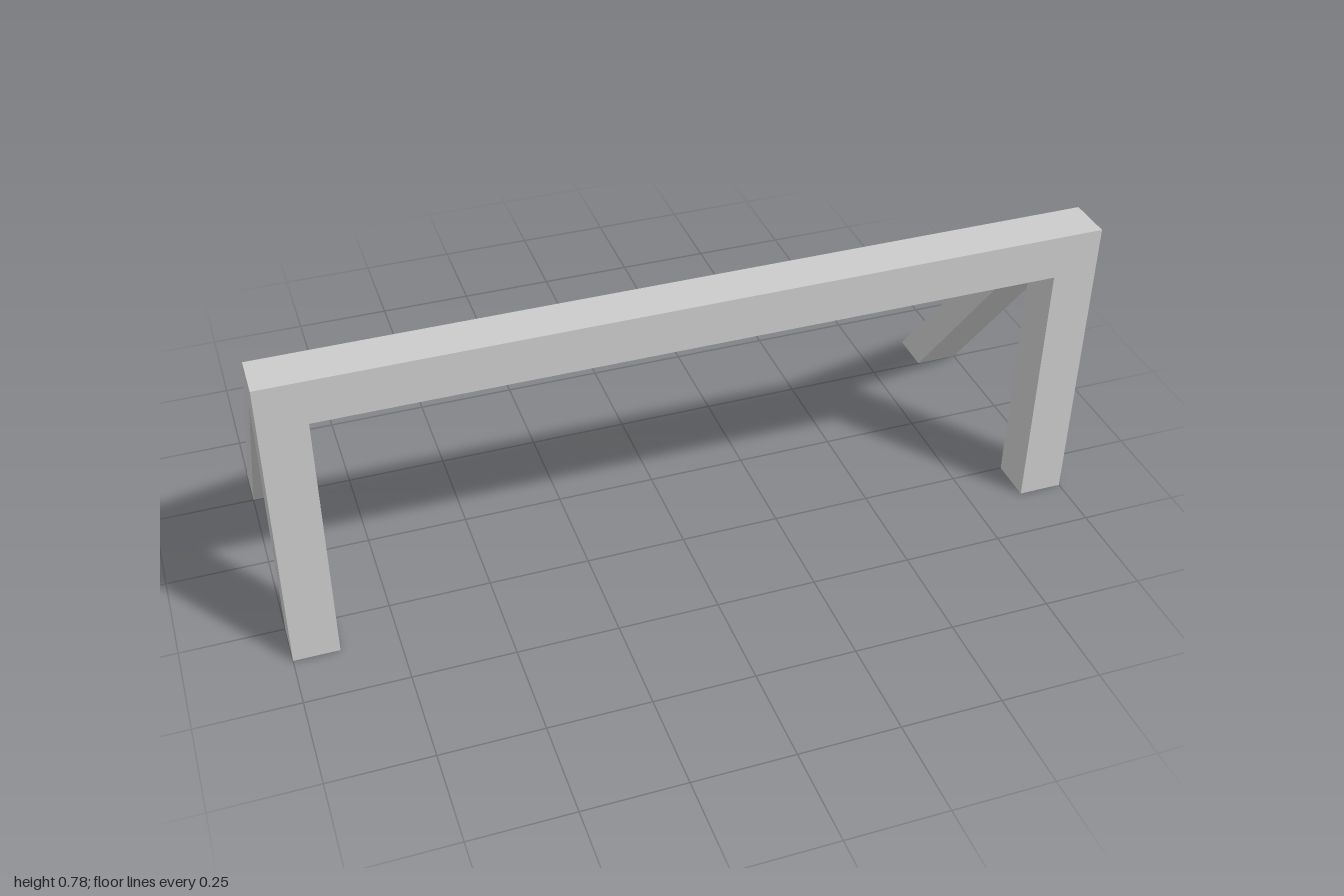
import * as THREE from 'three';

const T = 0.111;      // timber thickness
const H = 0.778;      // overall height
const FRONT = 0.361;  // front face z
const BACK = FRONT - T; // back face of the beam and posts

export function createModel() {
  const group = new THREE.Group();
  const material = new THREE.MeshStandardMaterial({ color: 0xcccccc, flatShading: true });

  const add = (name, geometry, x, y, z) => {
    const mesh = new THREE.Mesh(geometry, material);
    mesh.name = name;
    mesh.position.set(x, y, z);
    group.add(mesh);
  };

  // Top beam spanning the full width
  add('topBeam', new THREE.BoxGeometry(2, T, T), 0, H - T / 2, FRONT - T / 2);

  // Slanted brace profile, drawn in (z, y) and cut flat at the floor and the post
  const profile = new THREE.Shape([
    new THREE.Vector2(BACK, H),
    new THREE.Vector2(BACK, H - T),
    new THREE.Vector2(-BACK, 0),
    new THREE.Vector2(-FRONT, 0),
  ]);
  const braceGeometry = new THREE.ExtrudeGeometry(profile, { depth: T, bevelEnabled: false })
    .translate(0, 0, -T / 2)
    .rotateY(-Math.PI / 2);
  const postGeometry = new THREE.BoxGeometry(T, H - T, T);

  // Upright post and rear brace at each end
  for (const [side, s] of [['left', 1], ['right', -1]]) {
    const x = s * (1 - T / 2);
    add(`${side}Post`, postGeometry, x, (H - T) / 2, FRONT - T / 2);
    add(`${side}Brace`, braceGeometry, x, 0, 0);
  }

  return group;
}
